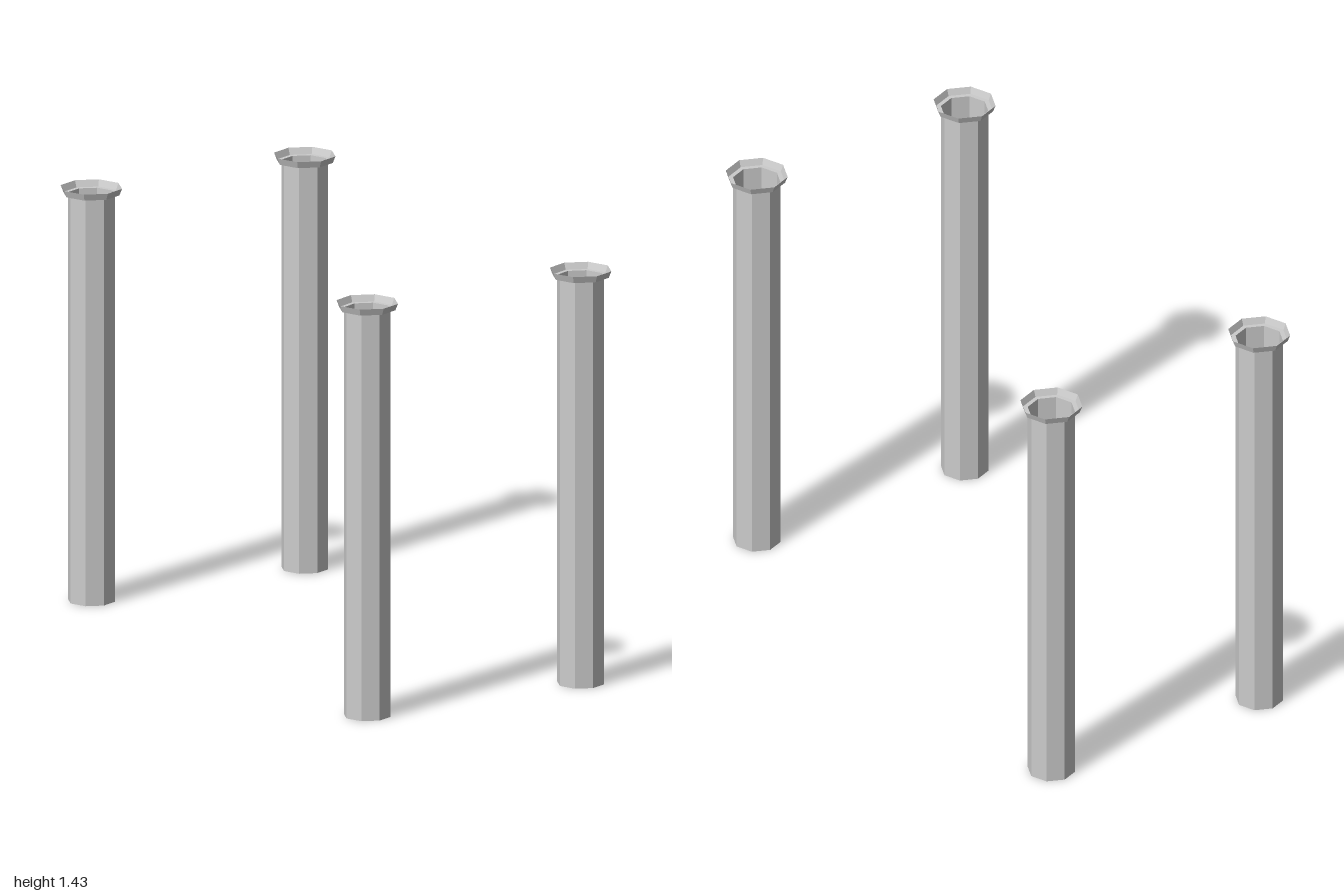
import * as THREE from 'three';

export function createModel() {
  const model = new THREE.Group();
  const material = new THREE.MeshStandardMaterial({
    color: 0xcccccc, flatShading: true, side: THREE.DoubleSide,
  });

  const SIDES = 8, RADIUS = 0.081, SHAFT_TOP = 1.409, TOP = 1.432;

  // Hollow octagonal shaft, open at both ends
  const shaftGeometry = new THREE.CylinderGeometry(RADIUS, RADIUS, SHAFT_TOP, SIDES, 1, true);
  shaftGeometry.translate(0, SHAFT_TOP / 2, 0);

  // Thin lip: a flat ledge, then a short flared wall
  const lipGeometry = new THREE.LatheGeometry([
    new THREE.Vector2(RADIUS, SHAFT_TOP),
    new THREE.Vector2(0.097, SHAFT_TOP),
    new THREE.Vector2(0.106, TOP),
  ], SIDES);

  // Four posts at the corners of a rectangle
  for (const [zName, z] of [['front', 0.894], ['back', -0.894]]) {
    for (const [xName, x] of [['Left', 0.418], ['Right', -0.418]]) {
      const post = new THREE.Group();
      post.name = `${zName}${xName}Post`;
      post.position.set(x, 0, z);

      const shaft = new THREE.Mesh(shaftGeometry, material);
      shaft.name = 'shaft';
      const lip = new THREE.Mesh(lipGeometry, material);
      lip.name = 'flaredLip';

      post.add(shaft, lip);
      model.add(post);
    }
  }
  return model;
}
